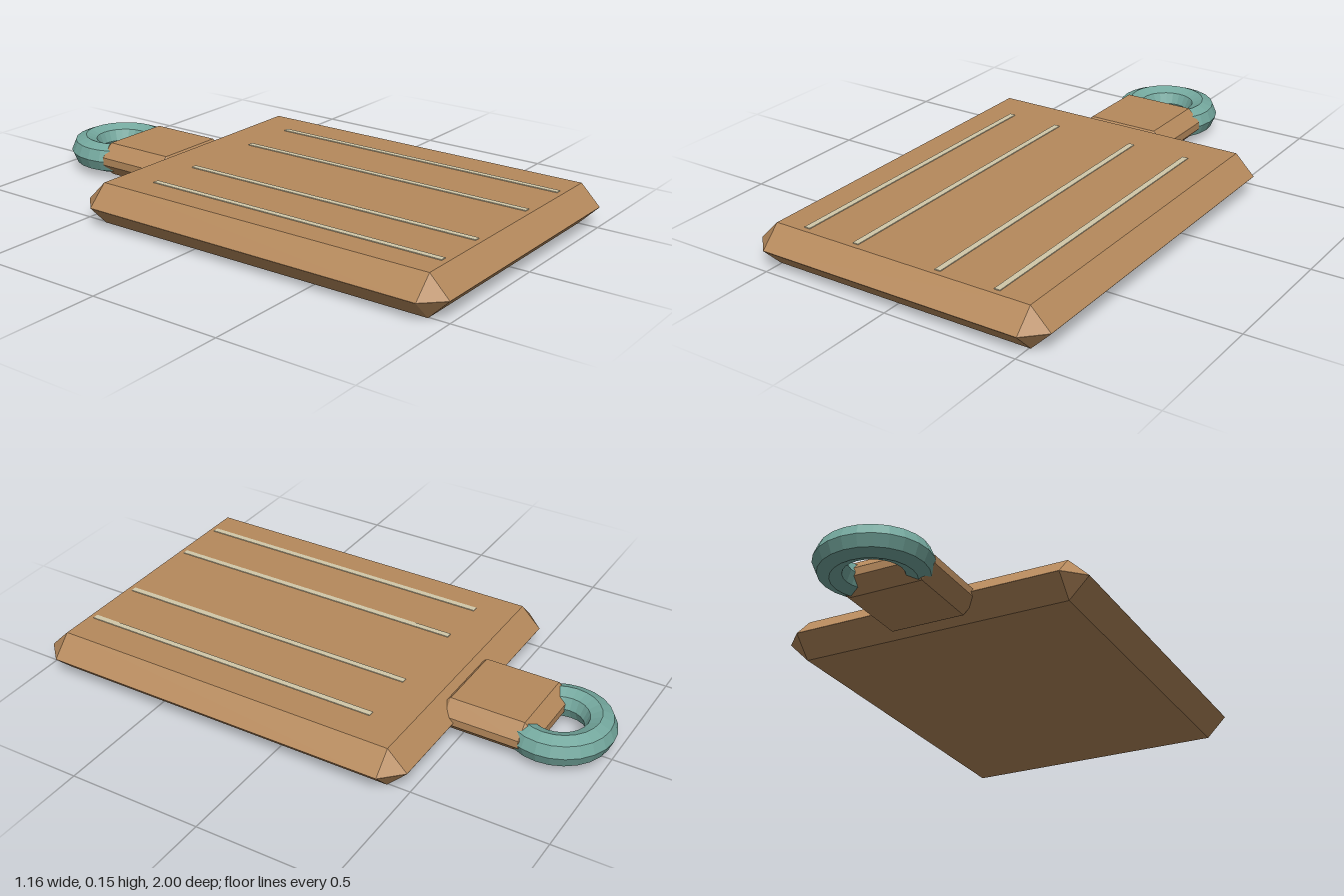
import * as THREE from 'three';
import { ConvexGeometry } from 'three/addons/geometries/ConvexGeometry.js';

const wood = new THREE.MeshStandardMaterial({ color: 0xb5895c, flatShading: true });
const cream = new THREE.MeshStandardMaterial({ color: 0xd2c8a8, flatShading: true });
const teal = new THREE.MeshStandardMaterial({ color: 0x74a89e, flatShading: true });

// Box with every edge and corner cut by a single flat bevel
function bevelBox(w, h, d, bevel) {
  const points = [];
  const half = [w / 2, h / 2, d / 2];
  for (const sx of [-1, 1]) for (const sy of [-1, 1]) for (const sz of [-1, 1]) {
    const signs = [sx, sy, sz];
    for (let axis = 0; axis < 3; axis++) {
      const p = half.map((v, i) => signs[i] * (i === axis ? v : v - bevel));
      points.push(new THREE.Vector3(...p));
    }
  }
  return new ConvexGeometry(points);
}

export function createModel() {
  const model = new THREE.Group();
  model.name = 'cuttingBoard';

  const add = (name, geometry, material, x, y, z) => {
    const mesh = new THREE.Mesh(geometry, material);
    mesh.name = name;
    mesh.position.set(x, y, z);
    model.add(mesh);
    return mesh;
  };

  // Main slab: the bevels meet in a ridge at mid height
  add('board', bevelBox(1.16, 0.15, 1.49, 0.0745), wood, 0, 0.075, 0.255);

  // Short handle at the back, sunk into the slab
  add('handle', bevelBox(0.37, 0.125, 0.375, 0.048), wood, 0, 0.0775, -0.5925);

  // Hanging ring running through the handle end
  const ring = new THREE.TorusGeometry(0.143, 0.057, 8, 24).rotateX(Math.PI / 2);
  add('hangingRing', ring, teal, 0, 0.075, -0.8);

  // Thin inlaid strips along the top
  [-0.392, -0.186, 0.144, 0.37].forEach((x, i) =>
    add(`strip${i + 1}`, new THREE.BoxGeometry(0.022, 0.01, 1.18), cream, x, 0.148, 0.315));

  return model;
}
